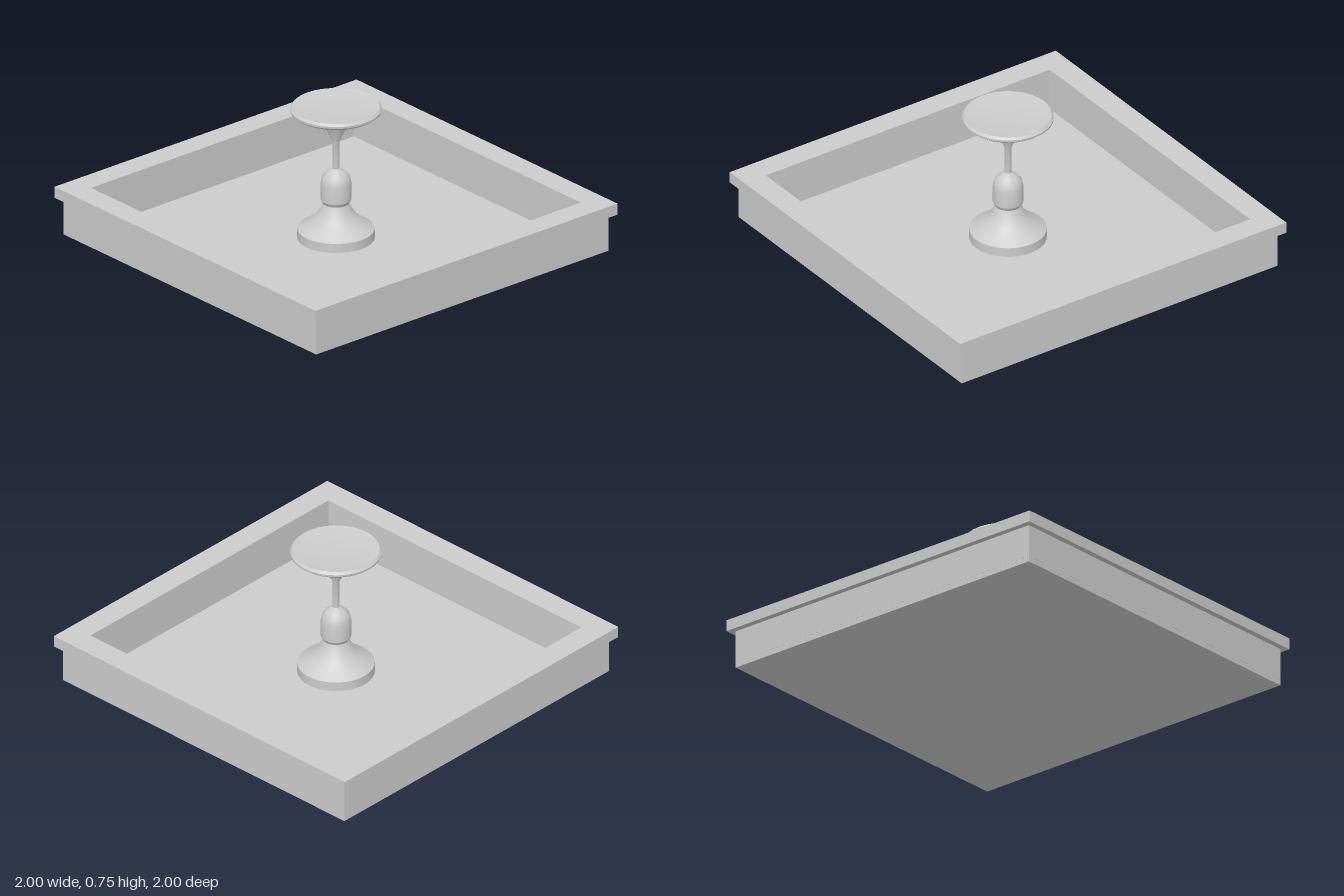
import * as THREE from 'three';
import { toCreasedNormals } from 'three/addons/utils/BufferGeometryUtils.js';

const grey = new THREE.MeshStandardMaterial({ color: 0xcccccc });

function add(group, name, geometry, y = 0) {
  const mesh = new THREE.Mesh(geometry, grey);
  mesh.name = name;
  mesh.position.y = y;
  group.add(mesh);
}

// Square frame lying flat, with its underside on y = 0
function squareFrame(outer, inner, height) {
  const square = (Type, r) => new Type([[-r, -r], [r, -r], [r, r], [-r, r]].map(([x, y]) => new THREE.Vector2(x, y)));
  const shape = square(THREE.Shape, outer);
  shape.holes.push(square(THREE.Path, inner));
  return new THREE.ExtrudeGeometry(shape, { depth: height, bevelEnabled: false }).rotateX(-Math.PI / 2);
}

// Turned part from [radius, height] pairs, bottom to top
function turned(points) {
  const profile = points.map(([r, y]) => new THREE.Vector2(r, y));
  return toCreasedNormals(new THREE.LatheGeometry(profile, 32), 0.5);
}

export function createModel() {
  const fountain = new THREE.Group();
  fountain.name = 'fountain';

  // Square basin
  add(fountain, 'basinFloor', new THREE.BoxGeometry(1.935, 0.03, 1.935), 0.015);
  add(fountain, 'basinWall', squareFrame(0.968, 0.87, 0.17), 0.03);
  add(fountain, 'basinRim', squareFrame(1, 0.87, 0.06), 0.2);

  // Flared foot
  add(fountain, 'pedestalFoot', turned([
    [0, 0.03], [0.195, 0.03], [0.195, 0.08], [0.15, 0.11],
    [0.11, 0.145], [0.08, 0.185], [0.063, 0.23],
  ]));

  // Collar with a domed shoulder
  add(fountain, 'collar', turned([
    [0.05, 0.215], [0.063, 0.215], [0.077, 0.24], [0.077, 0.33],
    [0.069, 0.365], [0.05, 0.388], [0.018, 0.41],
  ]));

  // Stem and its cone
  add(fountain, 'stem', turned([[0.018, 0.4], [0.018, 0.56], [0.075, 0.68]]));

  // Shallow bowl, closed on top
  add(fountain, 'bowl', turned([
    [0.075, 0.68], [0.215, 0.715], [0.23, 0.727], [0.231, 0.738],
    [0.22, 0.75], [0.205, 0.747], [0, 0.747],
  ]));

  return fountain;
}
